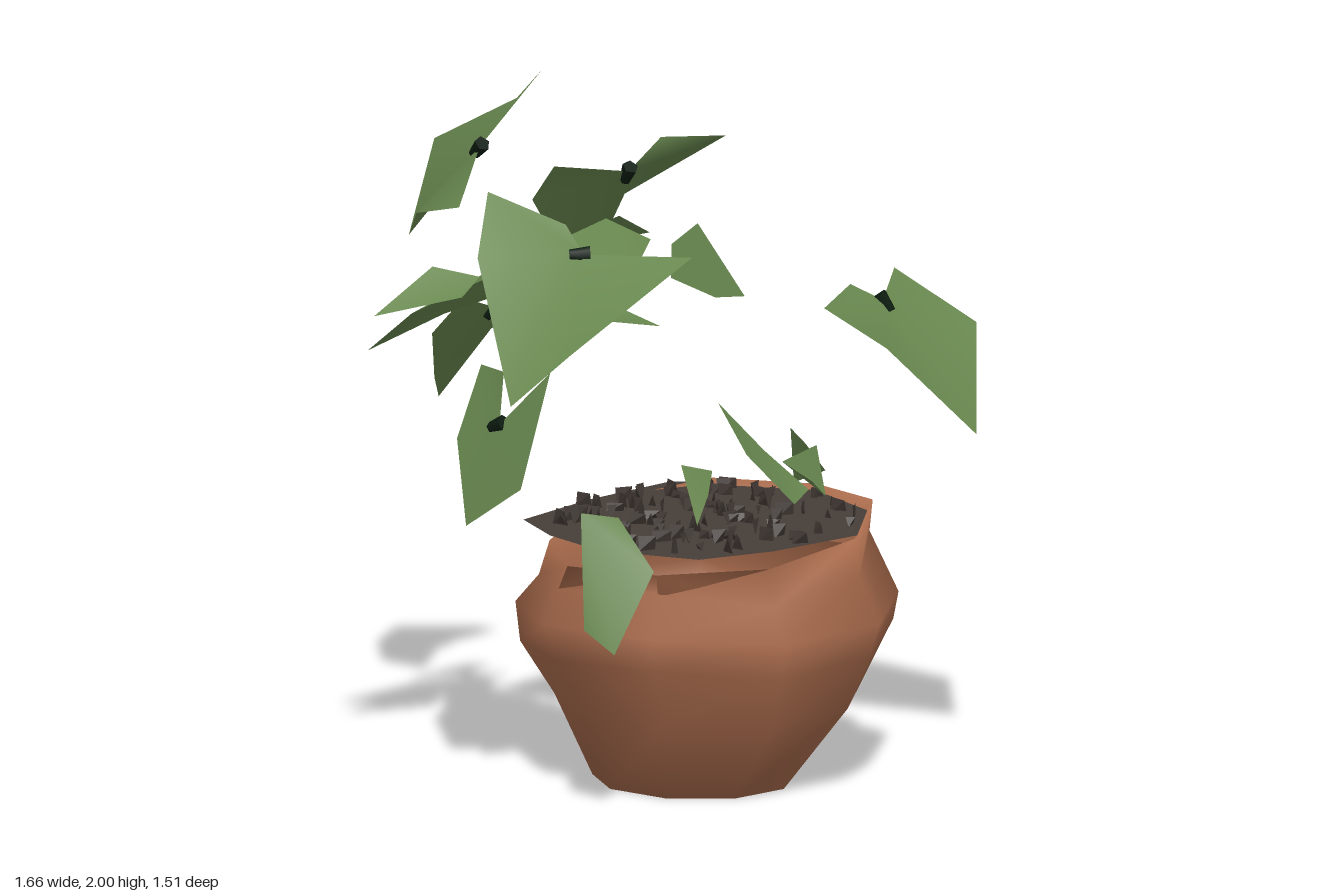
import * as THREE from 'three';

const paint = (name, color) => {
  const m = new THREE.MeshStandardMaterial({ color, side: THREE.DoubleSide });
  m.name = name;
  return m;
};

// Surface from points and triangle indices
function surface(name, points, index, material) {
  const g = new THREE.BufferGeometry().setFromPoints(points);
  g.setIndex(index);
  g.computeVertexNormals();
  const mesh = new THREE.Mesh(g, material);
  mesh.name = name;
  return mesh;
}

// Indices of a fan spread from the first of n points
const fan = (n) => Array.from({ length: n - 2 }, (_, i) => [0, i + 1, i + 2]).flat();

// Heart-shaped leaves: the notch, then the corners around the edge
const heartLeaves = [
  [[-.2, 1.78, -.39], [-.37, 1.645, -.29], [-.37, 1.6, -.47], [-.14, 1.455, -.755], [-.11, 1.745, -.68], [-.02, 1.89, -.43], [-.05, 2, -.29]],
  [[.11, 1.71, -.1], [-.095, 1.74, -.19], [-.07, 1.62, -.31], [.2, 1.31, -.4], [.3, 1.58, -.325], [.33, 1.81, .07], [.18, 1.81, -.04]],
  [[-.29, 1.51, -.15], [-.3, 1.6, -.01], [-.4, 1.51, -.055], [-.635, 1.39, -.2], [-.645, 1.255, -.375], [-.355, 1.32, -.37], [-.08, 1.4, -.245]],
  [[-.16, 1.31, -.37], [-.28, 1.355, -.37], [-.31, 1.24, -.47], [-.21, 1.08, -.57], [-.125, 1, -.645], [-.03, 1.2, -.53], [-.01, 1.3, -.42]],
  [[-.42, 1.61, .29], [-.405, 1.68, .2], [-.505, 1.755, -.02], [-.645, 1.6, .09], [-.8, 1.24, .4], [-.715, 1.4, .555], [-.22, 1.61, .53]],
  [[.57, 1.36, .47], [.76, 1.4, .31], [.83, 1.275, .58], [.67, 1, .755], [.42, 1.27, .65], [.28, 1.39, .54], [.49, 1.41, .42]],
  [[-.46, 1.07, -.02], [-.38, 1.2, -.09], [-.33, 1.19, -.24], [-.46, 1, -.2], [-.58, .79, -.03], [-.57, .93, .19], [-.41, 1.24, .14]],
];

// Small leaves: corners around the edge
const smallLeaves = [
  [[-.05, 1.61, -.02], [-.34, 1.56, 0], [-.32, 1.53, .2], [-.1, 1.53, .18], [.04, 1.55, .07]],
  [[0, 1.61, -.02], [.1, 1.55, 0], [.12, 1.5, -.17], [-.05, 1.53, -.17]],
  [[-.08, 1.59, .29], [-.2, 1.53, .42], [.025, 1.43, .36], [.22, 1.39, .27], [.13, 1.6, .17]],
  [[-.5, 1.5, -.06], [-.6, 1.53, -.15], [-.83, 1.42, -.145], [-.6, 1.46, -.025]],
  [[-.12, 1.33, .03], [-.07, 1.33, .14], [.05, 1.3, .1], [0, 1.34, 0]],
  [[0, 1.4, -.12], [-.08, 1.44, -.13], [0, 1.31, -.06], [.06, 1.42, -.14]],
  [[-.53, .89, .4], [-.43, .87, .45], [-.44, .74, .61], [-.565, .51, .58], [-.59, .57, .48]],
  [[.62, .87, .09], [.64, .8, .15], [.71, .72, -.06], [.67, .89, -.03]],
  [[.14, .98, .44], [-.02, 1.14, .42], [0, 1, .52], [.12, .85, .59], [.22, .87, .54]],
  [[-.18, .985, .44], [-.2, .825, .53], [-.13, .9, .5], [-.06, .95, .44]],
  [[.2, .94, .45], [.27, .88, .5], [.35, .82, .47], [.36, .96, .42]],
];

function buildLeaf(name, corners, material) {
  const outline = corners.map((p) => new THREE.Vector3(...p));
  return surface(name, outline, fan(outline.length), material);
}

// Short stalk stub at the notch of a large leaf, pointing to the leaf's middle
function buildStub(corners, material) {
  const notch = new THREE.Vector3(...corners[0]);
  const dir = new THREE.Vector3(...corners[3]).sub(notch).normalize();
  const stub = new THREE.Mesh(new THREE.CylinderGeometry(.016, .024, .06, 5), material);
  stub.quaternion.setFromUnitVectors(new THREE.Vector3(0, 1, 0), dir);
  stub.position.copy(notch).addScaledVector(dir, .01);
  stub.name = 'stalkStub';
  return stub;
}

function buildPot(material) {
  // y, centre x, centre z, radius x, radius z, tilt along x, wobble
  const rings = [
    [0, .065, .22, .275, .3, 0, 0],
    [.25, .11, .24, .42, .46, .02, .02],
    [.4, .125, .22, .53, .53, .02, .02],
    [.5, .128, .22, .55, .555, 0, .01],
    [.62, .12, .22, .485, .49, .07, .035],
    [.715, .11, .25, .485, .455, .115, .01],
    [.6, .1, .25, .42, .41, .09, .02],
  ];
  const sides = 9, points = [], index = fan(sides);
  rings.forEach(([y, cx, cz, rx, rz, tilt, wobble], r) => {
    for (let i = 0; i < sides; i++) {
      const a = i / sides * Math.PI * 2 + Math.PI / 6;
      const k = 1 + wobble * Math.sin(i * 2.4 + r);
      const x = cx + Math.cos(a) * rx * k;
      points.push(new THREE.Vector3(x, y + tilt * x + (r && wobble * Math.cos(i * 1.9)), cz + Math.sin(a) * rz * k));
      if (r) {
        const n = (i + 1) % sides, p = (r - 1) * sides, q = r * sides;
        index.push(p + i, q + i, p + n, p + n, q + i, q + n);
      }
    }
  });
  return surface('pot', points, index, material);
}

function buildSoil(soilColor, chipColor) {
  const soil = new THREE.Group();
  soil.name = 'soil';
  const edge = [[-.33, .05], [-.36, .29], [-.24, .58], [-.02, .655], [.28, .68], [.51, .47],
    [.58, .16], [.47, -.09], [.36, -.2], [.05, -.2], [-.25, -.15]];
  const rim = edge.map(([x, z]) => new THREE.Vector3(x, .745 + .02 * x, z));
  soil.add(surface('soilTop', rim, fan(rim.length), soilColor));

  // Scattered bark chips, some standing on edge
  let seed = 7;
  const rand = () => (seed = (seed * 16807) % 2147483647) / 2147483647;
  const chip = new THREE.TetrahedronGeometry(.035);
  for (let i = 0; i < 110; i++) {
    const a = rand() * Math.PI * 2, r = Math.sqrt(rand());
    const mesh = new THREE.Mesh(chip, chipColor);
    mesh.position.set(.11 + Math.cos(a) * r * .44, .762, .24 + Math.sin(a) * r * .42);
    mesh.rotation.y = rand() * 6;
    mesh.scale.set(.5 + rand() * .9, .5 + rand() * .8, .15 + rand() * .35);
    mesh.name = 'barkChip';
    soil.add(mesh);
  }
  return soil;
}

export function createModel() {
  const green = paint('leafGreen', 0x68874f);
  const stem = paint('darkStem', 0x0c1c10);
  const clay = paint('terracotta', 0xa96b4c);
  const earth = paint('soilBrown', 0x463d38);
  const bark = paint('barkBrown', 0x3e3632);

  const model = new THREE.Group();
  model.name = 'pottedPlant';
  model.add(buildPot(clay), buildSoil(earth, bark));

  const foliage = new THREE.Group();
  foliage.name = 'foliage';
  heartLeaves.forEach((leaf) => foliage.add(buildLeaf('largeLeaf', leaf, green), buildStub(leaf, stem)));
  smallLeaves.forEach((leaf) => foliage.add(buildLeaf('smallLeaf', leaf, green)));
  model.add(foliage);
  return model;
}
